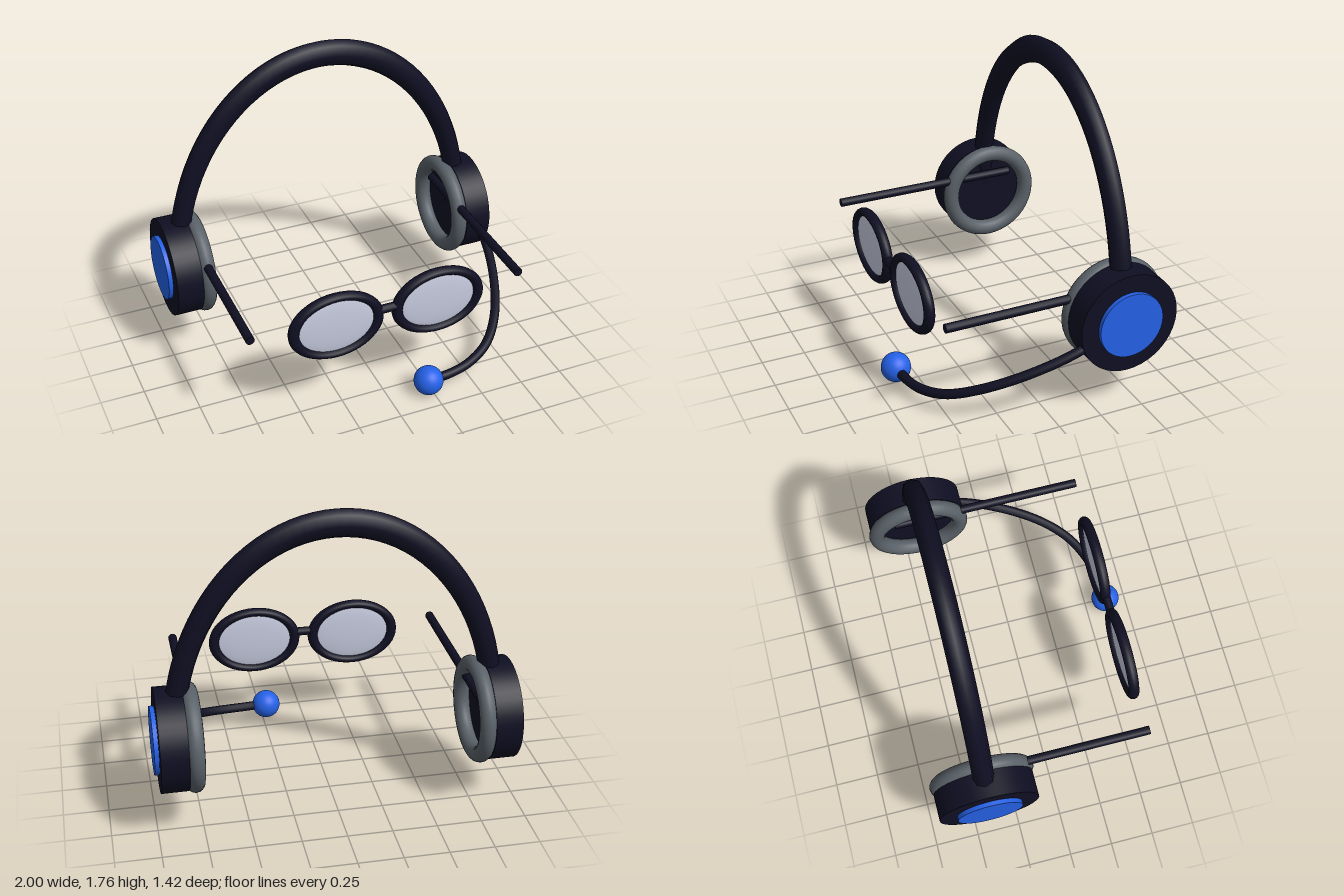
import * as THREE from 'three';

const material = (name, color) => {
  const m = new THREE.MeshStandardMaterial({ color });
  m.name = name;
  return m;
};

export function createModel() {
  const navy = material('dark navy', 0x0f0f23);
  const blue = material('bright blue', 0x2563eb);
  const grey = material('cushion grey', 0x596168);
  const glass = material('pale lens', 0xc8cce0);

  const model = new THREE.Group();
  model.name = 'headsetWithGlasses';
  const add = (parent, name, geometry, mat, x = 0, y = 0, z = 0) => {
    const mesh = new THREE.Mesh(geometry, mat);
    mesh.name = name;
    mesh.position.set(x, y, z);
    parent.add(mesh);
    return mesh;
  };
  const group = (name) => {
    const g = new THREE.Group();
    g.name = name;
    model.add(g);
    return g;
  };

  const earY = 0.52, earZ = -0.413;
  const headset = group('headset');
  const glasses = group('glasses');

  // Tall half-ring headband
  add(headset, 'headband', new THREE.TorusGeometry(0.876, 0.06, 8, 48, Math.PI)
    .scale(1, 1.32, 1), navy, 0, 0.53, earZ);

  for (const [side, s] of [['left', 1], ['right', -1]]) {
    // Ear cup, outer disc and inner cushion
    add(headset, side + 'EarCup', new THREE.CylinderGeometry(0.286, 0.286, 0.15, 40)
      .rotateZ(Math.PI / 2), navy, s * 0.9, earY, earZ);
    add(headset, side + 'EarDisc', new THREE.CylinderGeometry(0.186, 0.186, 0.04, 40)
      .rotateZ(Math.PI / 2), blue, s * 0.98, earY, earZ);
    add(headset, side + 'EarCushion', new THREE.TorusGeometry(0.253, 0.047, 16, 48)
      .rotateY(Math.PI / 2), grey, s * 0.787, earY, earZ);

    // Oval rim, domed lens and straight temple arm
    add(glasses, side + 'Rim', new THREE.TorusGeometry(0.244, 0.031, 12, 48)
      .scale(1, 0.755, 1), navy, s * 0.3, 0.578, 0.543);
    add(glasses, side + 'Lens', new THREE.SphereGeometry(1, 40, 24)
      .scale(0.235, 0.176, 0.02), glass, s * 0.3, 0.578, 0.543);
    add(glasses, side + 'Temple', new THREE.CylinderGeometry(0.025, 0.025, 1.11, 12)
      .rotateX(Math.PI / 2), navy, s * 0.788, 0.633, 0.005);
  }

  add(glasses, 'bridge', new THREE.CylinderGeometry(0.025, 0.025, 0.14, 12)
    .rotateZ(Math.PI / 2), navy, 0, 0.608, 0.545);

  // Curved boom sweeping forward from the left cup to the microphone ball
  const boomPath = new THREE.CatmullRomCurve3([
    [0.93, 0.48, -0.3], [0.945, 0.41, -0.145], [0.89, 0.305, 0.107], [0.78, 0.205, 0.348],
    [0.65, 0.135, 0.5], [0.5, 0.098, 0.58], [0.35, 0.085, 0.613], [0.23, 0.088, 0.62],
  ].map((p) => new THREE.Vector3(...p)));
  add(headset, 'microphoneBoom', new THREE.TubeGeometry(boomPath, 48, 0.027, 10), navy);
  add(headset, 'microphone', new THREE.SphereGeometry(0.084, 32, 20), blue, 0.226, 0.088, 0.62);

  return model;
}
